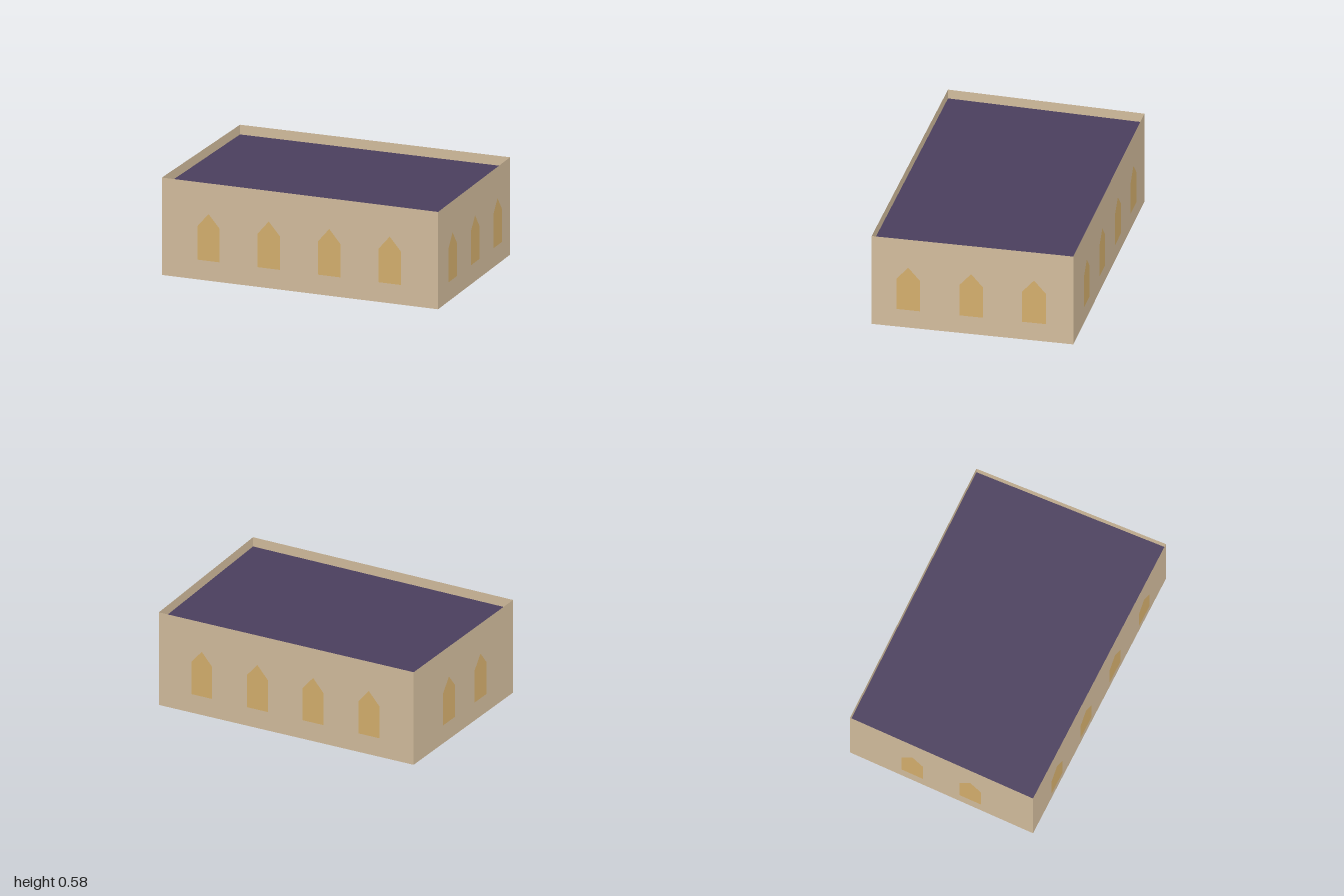
import * as THREE from 'three';

const HEIGHT = 0.58, ROOF_Y = 0.522;
// Footprint corners as [x, z], counter-clockwise seen from above
const CORNERS = [[-0.305, 1.0], [0.8, 0.6], [0.3, -1.0], [-0.8, -0.65]];
// Window centres as fractions along each wall
const WALLS = [
  { name: 'frontWall', windows: [0.183, 0.495, 0.807] },
  { name: 'leftWall', windows: [0.171, 0.389, 0.608, 0.827] },
  { name: 'backWall', windows: [0.343, 0.66] },
  { name: 'rightWall', windows: [0.171, 0.389, 0.608, 0.827] },
];

function material(name, color, side = THREE.FrontSide) {
  const m = new THREE.MeshStandardMaterial({ color, side });
  m.name = name;
  return m;
}

// Flat window with a pointed head
function windowGeometry(width = 0.138) {
  const w = width / 2;
  return new THREE.ShapeGeometry(new THREE.Shape([
    new THREE.Vector2(-w, 0.12), new THREE.Vector2(w, 0.12),
    new THREE.Vector2(w, 0.32), new THREE.Vector2(0, 0.4),
    new THREE.Vector2(-w, 0.32),
  ]));
}

export function createModel() {
  const model = new THREE.Group();
  model.name = 'hall';
  const stone = material('sandstone', 0xd4be9e, THREE.DoubleSide);
  const glass = material('amberGlass', 0xd6b06e);
  const slate = material('purpleRoof', 0x4a3f5e, THREE.DoubleSide);
  const pane = windowGeometry();

  // Thin walls, each a group whose local z points outward
  WALLS.forEach(({ name, windows }, i) => {
    const [ax, az] = CORNERS[i];
    const [bx, bz] = CORNERS[(i + 1) % 4];
    const length = Math.hypot(bx - ax, bz - az);
    const side = new THREE.Group();
    side.name = name;
    side.position.set(ax, 0, az);
    side.rotation.y = Math.atan2(az - bz, bx - ax);

    const wall = new THREE.Mesh(new THREE.PlaneGeometry(length, HEIGHT), stone);
    wall.name = name + 'Panel';
    wall.position.set(length / 2, HEIGHT / 2, 0);
    side.add(wall);

    windows.forEach((t, k) => {
      const win = new THREE.Mesh(pane, glass);
      win.name = `${name}Window${k + 1}`;
      win.position.set(t * length, 0, 0.008);
      side.add(win);
    });
    model.add(side);
  });

  // Flat roof sunk behind the parapet
  const outline = new THREE.Shape(CORNERS.map(([x, z]) => new THREE.Vector2(x, -z)));
  const roof = new THREE.Mesh(new THREE.ShapeGeometry(outline).rotateX(-Math.PI / 2), slate);
  roof.name = 'roof';
  roof.position.y = ROOF_Y;
  model.add(roof);

  return model;
}
